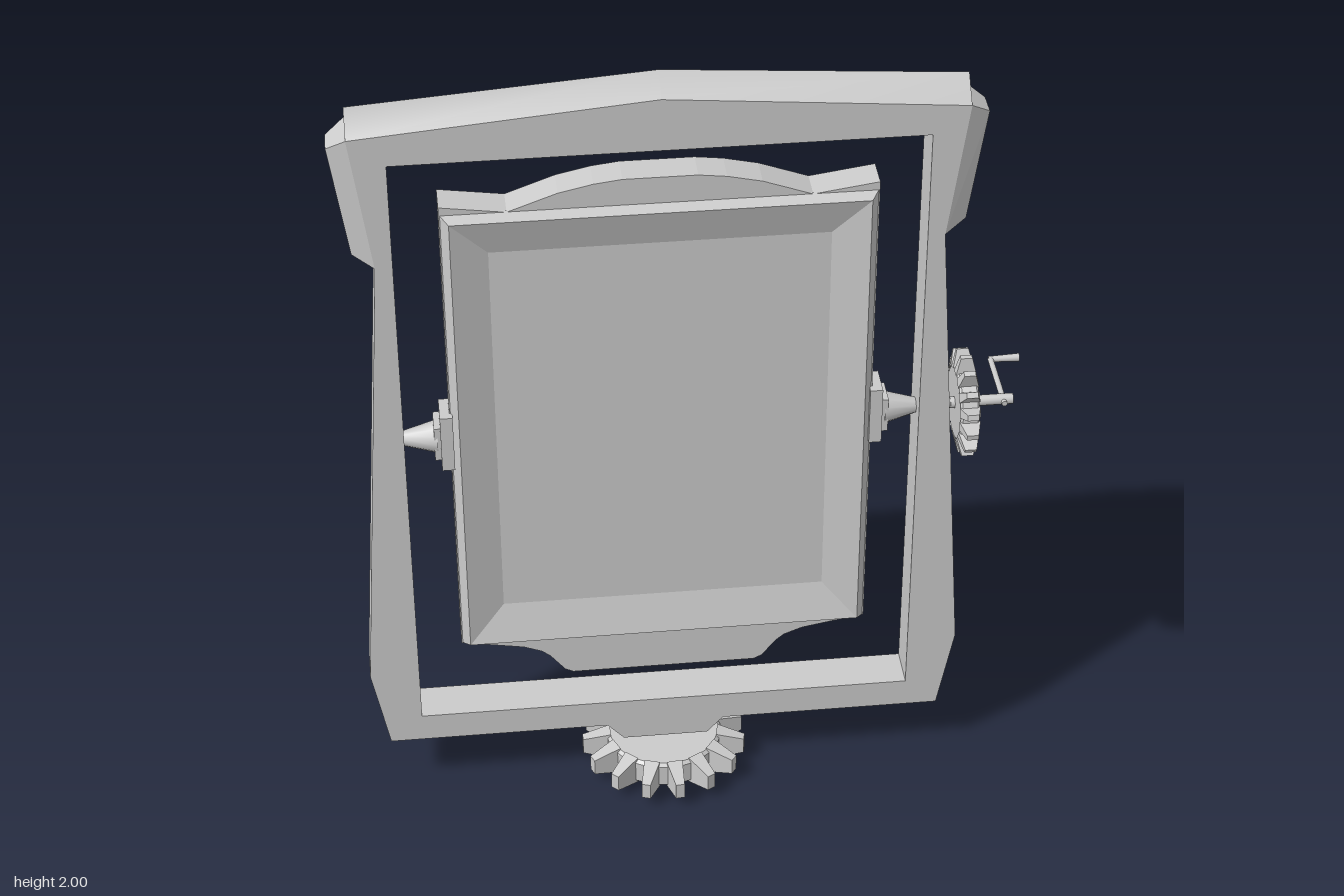
import * as THREE from 'three';
import { ConvexGeometry } from 'three/addons/geometries/ConvexGeometry.js';

const mat = new THREE.MeshStandardMaterial({ color: 0xcccccc, side: THREE.DoubleSide });
const flat = new THREE.MeshStandardMaterial({ color: 0xcccccc, flatShading: true, side: THREE.DoubleSide });

function add(parent, name, geometry, x = 0, y = 0, z = 0, material = mat) {
  const mesh = new THREE.Mesh(geometry, material);
  mesh.name = name;
  mesh.position.set(x, y, z);
  parent.add(mesh);
  return mesh;
}

// Closed outline from its right half, mirrored to the left
function mirrored(half) {
  const left = half.filter(([x]) => x > 0).map(([x, y]) => [-x, y]).reverse();
  return new THREE.Shape([...half, ...left].map(([x, y]) => new THREE.Vector2(x, y)));
}

function slab(shape, back, front) {
  return new THREE.ExtrudeGeometry(shape, { depth: front - back, bevelEnabled: false }).translate(0, 0, back);
}

// Rod along x or z
function rod(axis, rStart, rEnd, length, sides = 12) {
  const g = new THREE.CylinderGeometry(rEnd, rStart, length, sides);
  return axis === 'x' ? g.rotateZ(-Math.PI / 2) : g.rotateX(Math.PI / 2);
}

// Rectangular rings [halfWidth, bottom, top, z], joined in order, the last one filled
function steppedRect(rings) {
  const pos = [];
  const corners = ([w, b, t, z]) => [[-w, b, z], [w, b, z], [w, t, z], [-w, t, z]];
  const quad = (a, b, c, d) => pos.push(...a, ...b, ...c, ...a, ...c, ...d);
  for (let r = 0; r < rings.length - 1; r++) {
    const o = corners(rings[r]), i = corners(rings[r + 1]);
    for (let k = 0; k < 4; k++) quad(o[k], o[(k + 1) % 4], i[(k + 1) % 4], i[k]);
  }
  quad(...corners(rings[rings.length - 1]));
  const g = new THREE.BufferGeometry();
  g.setAttribute('position', new THREE.Float32BufferAttribute(pos, 3));
  g.computeVertexNormals();
  return g;
}

// Ridged cap: front eave, ridge and back eave at three stations, plus closed ends
function roofGeometry() {
  const pos = [], index = [];
  const station = (x, eave, ridge) => pos.push(x, eave, 0.053, x, ridge, 0, x, eave, -0.053);
  station(-0.69, 1.895, 1.95);
  station(0, 1.955, 2);
  station(0.69, 1.895, 1.95);
  for (let s = 0; s < 2; s++) for (let k = 0; k < 2; k++) {
    const a = s * 3 + k, b = a + 3;
    index.push(a, b, b + 1, a, b + 1, a + 1);
  }
  station(-0.69, 1.895, 1.95);
  station(0.69, 1.895, 1.95);
  index.push(9, 10, 11, 12, 14, 13);
  const g = new THREE.BufferGeometry();
  g.setAttribute('position', new THREE.Float32BufferAttribute(pos, 3));
  g.setIndex(index);
  g.computeVertexNormals();
  return g;
}

// Gear wheel around the y axis with tapered teeth
function gear(name) {
  const group = new THREE.Group();
  group.name = name;
  const profile = [[0, -0.036], [0.137, -0.036], [0.145, -0.028], [0.145, 0.028], [0.137, 0.036], [0, 0.036]];
  add(group, 'gearDisc', new THREE.LatheGeometry(profile.map(p => new THREE.Vector2(...p)), 32), 0, 0, 0, flat);
  add(group, 'gearHub', new THREE.CylinderGeometry(0.022, 0.022, 0.106, 16));
  const tooth = new THREE.CylinderGeometry(0.0155, 0.028, 0.07, 4).rotateY(Math.PI / 4)
    .scale(2, 1, 1).rotateZ(-Math.PI / 2).translate(0.17, 0, 0);
  for (let i = 0; i < 15; i++) {
    add(group, 'gearTooth', tooth, 0, 0, 0, flat).rotation.y = Math.PI + i * Math.PI * 2 / 15;
  }
  return group;
}

export function createModel() {
  const model = new THREE.Group();
  model.name = 'pivotingFrame';
  const body = new THREE.Group();
  body.name = 'body';
  body.position.x = -0.08;
  model.add(body);

  // Outer frame with its opening and foot block
  const outline = mirrored([[0.105, 0.11], [0.145, 0.155], [0.685, 0.155], [0.725, 0.37],
    [0.645, 1.56], [0.69, 1.895], [0, 1.955]]);
  outline.holes.push(new THREE.Path([[-0.605, 0.23], [-0.605, 1.825], [0.605, 1.825], [0.605, 0.23]]
    .map(p => new THREE.Vector2(...p))));
  add(body, 'outerFrame', slab(outline, -0.053, 0.053));
  add(body, 'roofCap', roofGeometry());

  // Panel: slab with arched crest, apron below, recessed front
  add(body, 'panelSlab', slab(mirrored([[0.497, 0.43], [0.497, 1.69], [0.345, 1.668], [0.23, 1.71],
    [0.15, 1.728], [0.085, 1.736]]), -0.058, 0.02));
  add(body, 'panelApron', slab(mirrored([[0.225, 0.31], [0.245, 0.32], [0.28, 0.365], [0.3, 0.382],
    [0.345, 0.4], [0.497, 0.428], [0.497, 0.46]]), -0.045, 0.018));
  add(body, 'panelFront', steppedRect([[0.497, 0.428, 1.67, 0.015], [0.476, 0.445, 1.66, 0.05],
    [0.39, 0.545, 1.565, 0.022]]));

  for (const s of [-1, 1]) {
    // Bevelled shoulders at the top corners
    const pts = [];
    for (const f of [-1, 1]) {
      for (const [x, y, z] of [[0.69, 1.895, 0.053], [0.645, 1.56, 0.053], [0.735, 1.865, 0.03], [0.695, 1.587, 0.03]]) {
        pts.push(new THREE.Vector3(s * x, y, f * z));
      }
    }
    add(body, 'shoulder', new ConvexGeometry(pts));

    // Pivot bracket and tapered pin
    add(body, 'pivotBracket', new THREE.BoxGeometry(0.03, 0.15, 0.08), s * 0.505, 1.05);
    add(body, 'pivotBoss', new THREE.BoxGeometry(0.02, 0.09, 0.07), s * 0.525, 1.048);
    const pin = rod('x', 0.04, 0.018, 0.08);
    if (s < 0) pin.rotateY(Math.PI);
    add(body, 'pivotPin', pin, s * 0.567, 1.048);
  }

  // Foot gear under the frame
  const footGear = gear('footGear');
  footGear.position.y = 0.053;
  body.add(footGear);
  add(body, 'footShaft', new THREE.CylinderGeometry(0.02, 0.02, 0.05, 16), 0, 0.095);

  // Side gear with hand crank
  const sideGear = gear('sideGear');
  sideGear.position.set(0.722, 1.048, 0);
  sideGear.rotation.z = -Math.PI / 2;
  sideGear.scale.setScalar(0.63);
  body.add(sideGear);
  const crank = new THREE.Group();
  crank.name = 'crank';
  crank.position.set(0, 1.048, 0);
  body.add(crank);
  add(crank, 'crankShaft', rod('x', 0.013, 0.013, 0.185), 0.7475);
  add(crank, 'crankArm', rod('z', 0.007, 0.007, 0.185), 0.817, 0, -0.0725);
  add(crank, 'crankHandle', rod('x', 0.007, 0.01, 0.075), 0.8495, 0, -0.165);
  return model;
}
